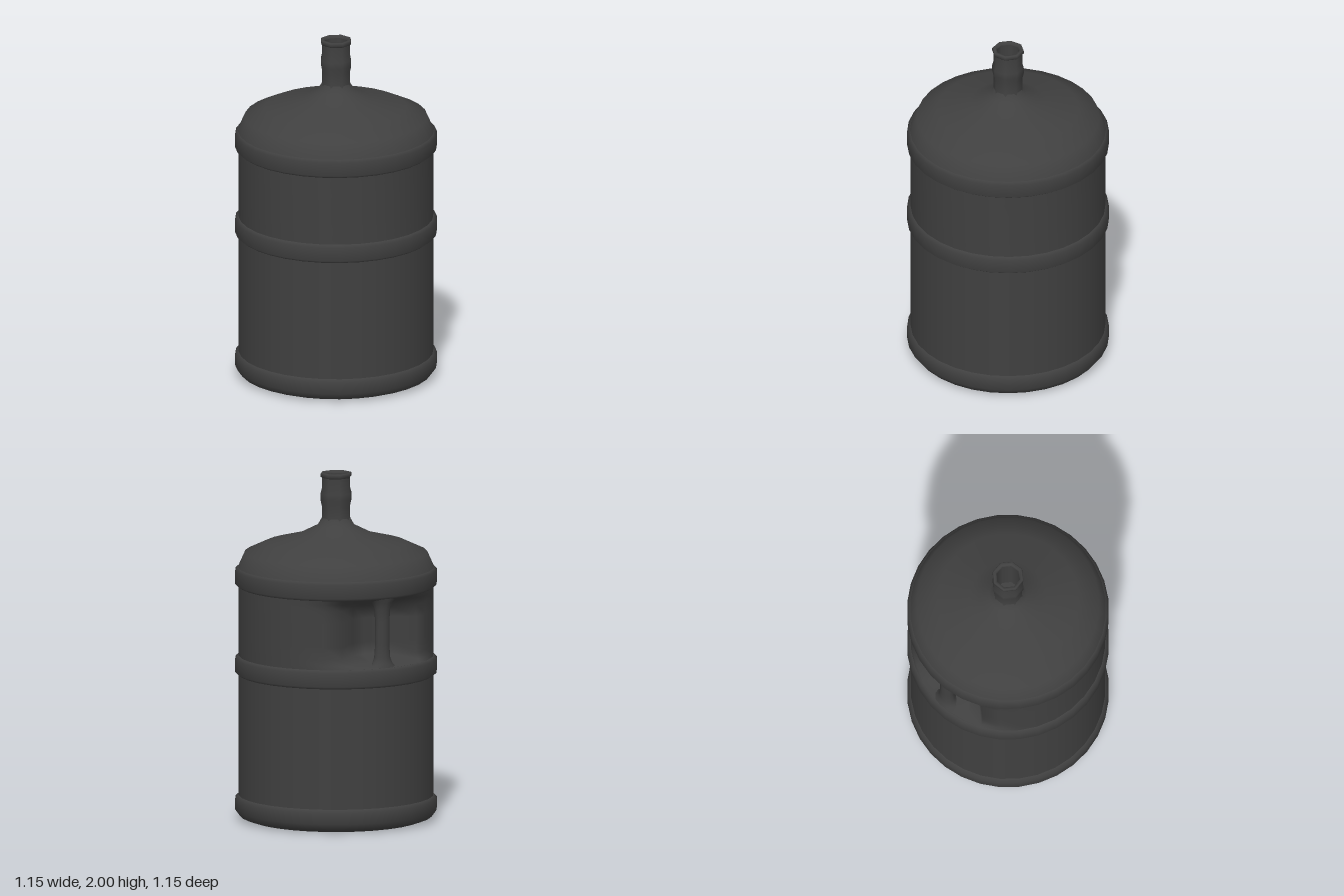
import * as THREE from 'three';
import { mergeVertices } from 'three/addons/utils/BufferGeometryUtils.js';

const SIDES = 32;
const GRIP = THREE.MathUtils.degToRad(211.6); // direction the grip faces, from +z towards +x
const SEAM = GRIP + Math.PI + Math.PI / SIDES;

export function createModel() {
  const model = new THREE.Group();
  const material = new THREE.MeshStandardMaterial({ color: 0x404040, side: THREE.DoubleSide });

  const add = (name, geometry) => {
    const mesh = new THREE.Mesh(geometry, material);
    mesh.name = name;
    model.add(mesh);
    return mesh;
  };
  const lathe = (profile, sides = SIDES, start = SEAM) =>
    new THREE.LatheGeometry(profile.map(([r, y]) => new THREE.Vector2(r, y)), sides, start);

  // Flat bottom, then the rounded foot ring
  add('bottom', lathe([[0, 0], [0.5, 0]]));
  add('baseRing', lathe([[0.5, 0], [0.55, 0.018], [0.577, 0.055], [0.577, 0.12], [0.557, 0.138]]));
  add('lowerWall', lathe([[0.557, 0.138], [0.557, 0.835]]));
  add('middleRing', lathe([[0.557, 0.835], [0.577, 0.85], [0.577, 0.93], [0.557, 0.945]]));

  // Upper wall, pushed in around the grip
  const wall = lathe([0.945, 0.965, 1.0, 1.07, 1.14, 1.21, 1.28, 1.32, 1.345].map((y) => [0.557, y]));
  wall.deleteAttribute('uv');
  wall.deleteAttribute('normal');
  const upperWall = mergeVertices(wall);
  const step = (2 * Math.PI) / SIDES;
  const depths = [0.2, 0.18, 0.03, 0.018]; // by column, outward from the grip
  const pos = upperWall.attributes.position;
  for (let i = 0; i < pos.count; i++) {
    const x = pos.getX(i), y = pos.getY(i), z = pos.getZ(i);
    const a = Math.atan2(x, z) - GRIP;
    const off = Math.abs(Math.atan2(Math.sin(a), Math.cos(a)));
    const depth = depths[Math.round(off / step - 0.5)] ?? 0;
    const rise = THREE.MathUtils.smoothstep(y, 0.94, 1.0) * (1 - THREE.MathUtils.smoothstep(y, 1.28, 1.345));
    const k = 1 - (depth * rise) / 0.557;
    pos.setXYZ(i, x * k, y, z * k);
  }
  upperWall.computeVertexNormals();
  add('upperWallWithRecess', upperWall);

  // Upright grip bar with flared ends: [y, half width, half depth, distance from axis]
  const sections = [
    [0.945, 0.085, 0.06, 0.497], [0.965, 0.062, 0.05, 0.5], [1.0, 0.048, 0.04, 0.498], [1.07, 0.043, 0.036, 0.499],
    [1.21, 0.043, 0.036, 0.499], [1.28, 0.048, 0.04, 0.498], [1.32, 0.062, 0.05, 0.5], [1.345, 0.085, 0.06, 0.497],
  ];
  const bar = new THREE.CylinderGeometry(1, 1, 1, 12, sections.length - 1, true);
  const bp = bar.attributes.position;
  for (let i = 0; i < bp.count; i++) {
    const row = Math.round((bp.getY(i) + 0.5) * (sections.length - 1));
    const [y, w, d, r] = sections[row];
    bp.setXYZ(i, bp.getX(i) * w, y, r + bp.getZ(i) * d);
  }
  bar.deleteAttribute('uv');
  bar.deleteAttribute('normal');
  const barSmooth = mergeVertices(bar);
  barSmooth.computeVertexNormals();
  add('gripBar', barSmooth).rotation.y = GRIP;

  // Top ring and domed shoulder
  add('topRing', lathe([[0.557, 1.345], [0.577, 1.36], [0.577, 1.44], [0.56, 1.455]]));
  add('shoulder', lathe([
    [0.56, 1.455], [0.522, 1.54], [0.405, 1.594], [0.22, 1.64], [0.105, 1.697], [0.08, 1.74],
  ]));

  // Eight-sided hollow neck with a bead and a lip
  const neckStart = GRIP + Math.PI / SIDES - 2 * step;
  add('neck', lathe([
    [0.095, 1.69], [0.084, 1.74], [0.084, 1.81], [0.092, 1.845], [0.092, 1.88], [0.084, 1.91], [0.084, 1.972],
  ], 8, neckStart));
  add('neckLip', lathe([
    [0.084, 1.972], [0.092, 1.98], [0.092, 1.995], [0.087, 2], [0.072, 2], [0.068, 1.985],
  ], 8, neckStart));
  add('neckInside', lathe([[0.068, 1.985], [0.068, 1.72]], 8, neckStart));
  add('neckFloor', lathe([[0.068, 1.72], [0, 1.72]], 8, neckStart));

  return model;
}
